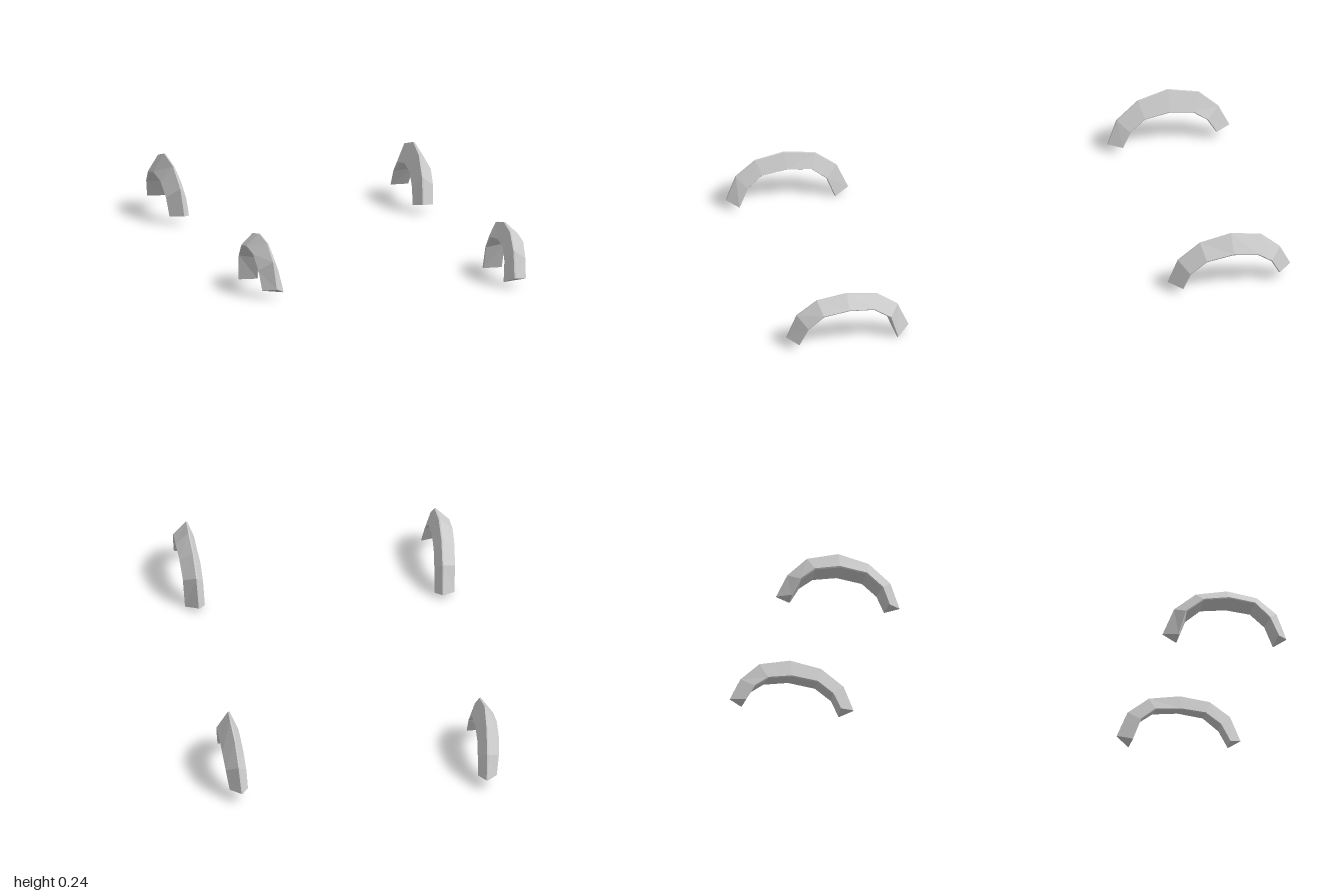
import * as THREE from 'three';

// Each station along an arch: ridge xyz, outer lip xyz, inner lip xyz.
const FRONT = [
  [0.47, 0.04, 1.003, 0.525, 0.03, 0.96, 0.433, 0.018, 0.953],
  [0.475, 0.142, 0.963, 0.532, 0.1, 0.925, 0.445, 0.092, 0.918],
  [0.48, 0.202, 0.883, 0.538, 0.153, 0.865, 0.452, 0.138, 0.86],
  [0.484, 0.219, 0.765, 0.54, 0.166, 0.765, 0.454, 0.147, 0.765],
  [0.481, 0.196, 0.642, 0.536, 0.152, 0.667, 0.45, 0.136, 0.665],
  [0.476, 0.127, 0.557, 0.53, 0.1, 0.6, 0.446, 0.087, 0.608],
  [0.471, 0.02, 0.512, 0.525, 0.0, 0.572, 0.443, 0.0, 0.575],
];
const REAR = [
  [0.471, 0.037, -0.512, 0.525, 0.028, -0.565, 0.441, 0.028, -0.572],
  [0.478, 0.14, -0.55, 0.532, 0.095, -0.592, 0.445, 0.09, -0.602],
  [0.486, 0.213, -0.638, 0.538, 0.146, -0.655, 0.45, 0.137, -0.66],
  [0.493, 0.242, -0.76, 0.541, 0.163, -0.76, 0.452, 0.152, -0.76],
  [0.487, 0.213, -0.883, 0.539, 0.146, -0.857, 0.45, 0.137, -0.852],
  [0.481, 0.137, -0.96, 0.532, 0.103, -0.912, 0.446, 0.097, -0.905],
  [0.474, 0.045, -1.003, 0.52, 0.037, -0.945, 0.444, 0.037, -0.94],
];
const BEVEL = 0.06;

// Triangular section with its three corners cut by a narrow bevel.
function section(s, side) {
  const corners = [0, 3, 6].map((i) => new THREE.Vector3(s[i] * side, s[i + 1], s[i + 2]));
  return corners.flatMap((p, i) => [
    p.clone().lerp(corners[(i + 2) % 3], BEVEL),
    p.clone().lerp(corners[(i + 1) % 3], BEVEL),
  ]);
}

// Lofts the sections and closes both feet; side is 1 for left, -1 for right.
function archGeometry(stations, side) {
  const rings = stations.map((s) => section(s, side));
  const n = rings[0].length;
  const last = rings.length - 1;
  const index = [];
  const tri = (a, b, c) => index.push(...(side > 0 ? [a, b, c] : [a, c, b]));
  for (let i = 0; i < last; i++) {
    for (let j = 0; j < n; j++) {
      const a = i * n + j;
      const b = i * n + ((j + 1) % n);
      tri(a, b, b + n);
      tri(a, b + n, a + n);
    }
  }
  for (let j = 1; j < n - 1; j++) {
    tri(0, j + 1, j);
    tri(last * n, last * n + j, last * n + j + 1);
  }
  const indexed = new THREE.BufferGeometry().setFromPoints(rings.flat());
  indexed.setIndex(index);
  const geometry = indexed.toNonIndexed();
  geometry.computeVertexNormals();
  return geometry;
}

export function createModel() {
  const group = new THREE.Group();
  group.name = 'wheelArches';
  const material = new THREE.MeshStandardMaterial({ color: 0xcccccc, flatShading: true });
  for (const [end, stations] of [['front', FRONT], ['rear', REAR]]) {
    for (const [name, side] of [['Left', 1], ['Right', -1]]) {
      const arch = new THREE.Mesh(archGeometry(stations, side), material);
      arch.name = `${end}${name}WheelArch`;
      group.add(arch);
    }
  }
  return group;
}
